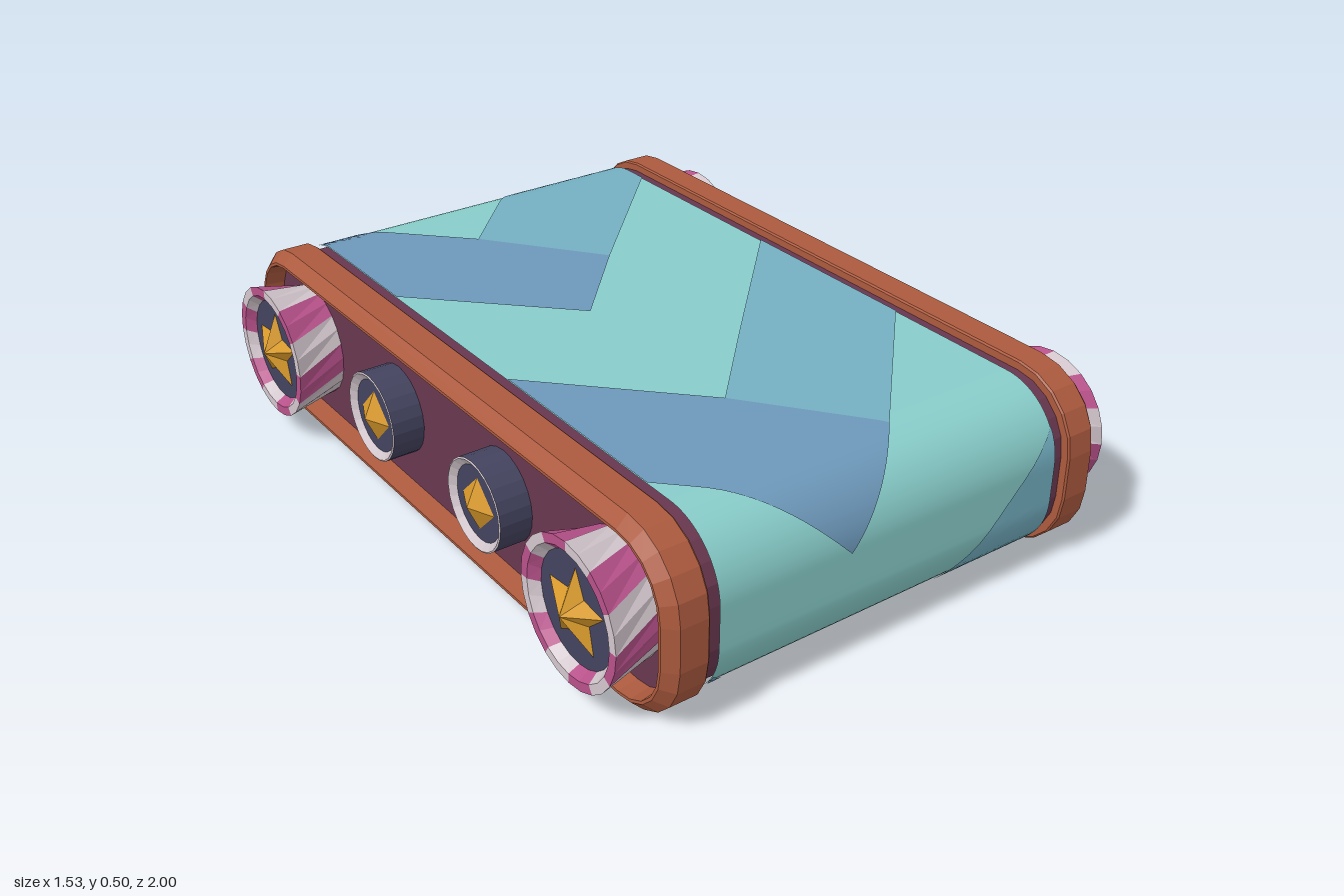
import * as THREE from 'three';

const CY = 0.2475; // height of the belt axis

// Surface from fn(i, j) -> [x, y, z, (nx, ny, nz)]; flat gives faceted normals
function grid(nu, nv, fn, flat = false) {
  const pos = [], nor = [], idx = [];
  for (let i = 0; i <= nu; i++) for (let j = 0; j <= nv; j++) {
    const p = fn(i, j);
    pos.push(p[0], p[1], p[2]);
    if (p.length > 3) nor.push(p[3], p[4], p[5]);
    if (i < nu && j < nv) {
      const a = i * (nv + 1) + j, b = a + nv + 1;
      idx.push(a, b, b + 1, a, b + 1, a + 1);
    }
  }
  let g = new THREE.BufferGeometry();
  g.setAttribute('position', new THREE.Float32BufferAttribute(pos, 3));
  g.setIndex(idx);
  if (flat) g = g.toNonIndexed();
  if (nor.length) g.setAttribute('normal', new THREE.Float32BufferAttribute(nor, 3));
  else g.computeVertexNormals();
  return g;
}

// Mirror image across x = 0 with the corner order put right
function mirrored(geo) {
  const g = geo.index ? geo.toNonIndexed() : geo.clone();
  for (const name of ['position', 'normal']) {
    const at = g.attributes[name], src = at.array.slice();
    for (let i = 0; i < at.count; i++) {
      const k = i - (i % 3) + (2 - (i % 3));
      at.setXYZ(i, -src[k * 3], src[k * 3 + 1], src[k * 3 + 2]);
    }
  }
  return g;
}

// Belt path: distance s from the top centre towards +z -> point and normal
const HZ = 0.985, HY = 0.2325, R = 0.18, A = HZ - R, B = HY - R;
const ARC = R * Math.PI / 2, HALF = 2 * A + 2 * ARC + 2 * B, LOOP = 2 * HALF;
function wrap(x, s, off) {
  let u = (((s + A) % LOOP) + LOOP) % LOOP, sign = 1, z, y, t;
  if (u >= HALF) { u -= HALF; sign = -1; }
  if (u < 2 * A) { z = u - A; y = B; t = 0; }
  else if ((u -= 2 * A) < ARC) { z = A; y = B; t = u / R; }
  else if ((u -= ARC) < 2 * B) { z = A; y = B - u; t = Math.PI / 2; }
  else { z = A; y = -B; t = Math.PI / 2 + (u - 2 * B) / R; }
  const c = Math.cos(t), n = Math.sin(t);
  return [x, CY + sign * (y + (R + off) * c), sign * (z + (R + off) * n), 0, sign * c, sign * n];
}

// Patch on the belt between two stations [x, sStart, sEnd]
function patch(p, q, off, ns, nx) {
  return grid(ns, nx, (i, j) => {
    const [x, s0, s1] = p.map((v, k) => v + (q[k] - v) * j / nx);
    return wrap(x, s0 + (s1 - s0) * i / ns, off);
  });
}

// Rounded rectangle in the side plane, point i of 4 * (SEG + 1)
const SEG = 5;
function outline(i, inset) {
  const n = i % (4 * (SEG + 1)), k = Math.floor(n / (SEG + 1));
  const t = (k + (n % (SEG + 1)) / SEG) * Math.PI / 2, r = 0.19 - inset;
  return [CY + (k === 0 || k === 3 ? 1 : -1) * 0.0575 + r * Math.cos(t),
    (k < 2 ? 1 : -1) * 0.81 + r * Math.sin(t)];
}

// Faceted pyramid facing +x, with alternating corner radii
function pyramid(count, radii, base, peak) {
  const corner = i => {
    const a = i / count * Math.PI * 2, r = radii[i % radii.length];
    return [base, r * Math.cos(a), r * Math.sin(a)];
  };
  const pos = [];
  for (let i = 0; i < count; i++) pos.push(peak, 0, 0, ...corner(i), ...corner(i + 1));
  const g = new THREE.BufferGeometry();
  g.setAttribute('position', new THREE.Float32BufferAttribute(pos, 3));
  g.computeVertexNormals();
  return g;
}

// Ring swept about the x axis from a profile of [x, radius], between two angles
function sweep(profile, a0, a1, n, twist = 0) {
  return grid(n, profile.length - 1, (i, j) => {
    const [x, r] = profile[j];
    const a = a0 + (a1 - a0) * i / n + twist * (x - 0.745);
    return [x, r * Math.cos(a), r * Math.sin(a)];
  }, true);
}

export function createModel() {
  const model = new THREE.Group();
  model.name = 'conveyorBelt';
  const mat = (name, color) => {
    const m = new THREE.MeshStandardMaterial({ color });
    m.name = name;
    return m;
  };
  const teal = mat('teal', 0x88cdca), blue = mat('blue', 0x6d98ba), paleBlue = mat('paleBlue', 0x74b0c2);
  const brown = mat('brown', 0xac5a3e), plum = mat('plum', 0x68374f), gold = mat('gold', 0xd6982a);
  const navy = mat('navy', 0x43435f), pink = mat('pink', 0xb8528b), white = mat('white', 0xd2c6cc);

  const add = (name, geo, material) => {
    const m = new THREE.Mesh(geo, material);
    m.name = name;
    model.add(m);
  };
  const addPair = (name, geo, material, y = 0, z = 0) => {
    const g = geo.clone().translate(0, y, z);
    add(name + 'Left', g, material);
    add(name + 'Right', mirrored(g), material);
  };

  // Belt with four chevrons around the loop
  add('belt', patch([-0.51, 0, LOOP], [0.51, 0, LOOP], 0, 240, 1), teal);
  const darkArm = [[-0.51, -0.38, 0.2], [-0.14, 0, 0.57], [0.1, 0.31, 0.31]];
  const paleArm = [[-0.14, 0, 0], [0.1, -0.25, 0.31], [0.51, -0.67, -0.11]];
  for (let k = 0; k < 4; k++) {
    const s = 0.52 + k * LOOP / 4;
    for (const [name, arm, m] of [['chevronDarkArm', darkArm, blue], ['chevronPaleArm', paleArm, paleBlue]]) {
      const st = arm.map(([x, a, b]) => [x, a + s, b + s]);
      for (let i = 0; i < 2; i++) add(name, patch(st[i], st[i + 1], 0.003, 28, 16), m);
    }
  }

  // Core body, whose ends are the side panels
  const shape = new THREE.Shape();
  for (let i = 0; i < 4 * (SEG + 1); i++) {
    const [y, z] = outline(i, 0.024);
    if (i) shape.lineTo(z, y); else shape.moveTo(z, y);
  }
  const core = new THREE.ExtrudeGeometry(shape, { depth: 1.2, bevelEnabled: false });
  add('core', core.translate(0, 0, -0.6).rotateY(Math.PI / 2), plum);

  // Side frames
  const rim = [[0.545, 0.04], [0.545, 0.004], [0.55, 0], [0.625, 0], [0.655, 0.03], [0.655, 0.038], [0.595, 0.046]];
  addPair('sideFrame', grid(4 * (SEG + 1), rim.length - 1,
    (i, j) => [rim[j][0], ...outline(i, rim[j][1])], true), brown);

  // Dashed trim lines
  for (const y of [0.087, 0.41]) for (let i = -2; i <= 2; i++)
    addPair('trimDash', new THREE.BoxGeometry(0.008, 0.02, 0.145), gold, y, i * 0.245);

  const disc = (r, x) => new THREE.CylinderGeometry(r, r, x - 0.59, 24)
    .rotateZ(-Math.PI / 2).translate((x + 0.59) / 2, 0, 0);

  // Striped wheels with stars
  const hub = [[0.59, 0.155], [0.745, 0.187], [0.745, 0.162], [0.72, 0.142]];
  for (const z of [-0.75, 0.75]) {
    for (let i = 0; i < 12; i++) {
      const a = i * Math.PI / 6;
      addPair('wheelStripe', sweep(hub, a, a + Math.PI / 6, 2, 2), i % 2 ? pink : white, 0.25, z);
    }
    addPair('wheelFace', disc(0.145, 0.72), navy, 0.25, z);
    addPair('wheelStar', pyramid(10, [0.11, 0.052], 0.72, 0.765), gold, 0.25, z);
  }

  // Small buttons with diamonds
  const turn = Math.PI * 2;
  for (const z of [-0.26, 0.26]) {
    addPair('buttonSide', sweep([[0.59, 0.122], [0.688, 0.122]], 0, turn, 24), navy, 0.25, z);
    addPair('buttonRim', sweep([[0.688, 0.122], [0.69, 0.118], [0.675, 0.1]], 0, turn, 24), white, 0.25, z);
    addPair('buttonFace', disc(0.102, 0.675), navy, 0.25, z);
    addPair('buttonDiamond', pyramid(4, [0.072], 0.675, 0.707), gold, 0.25, z);
  }
  return model;
}
